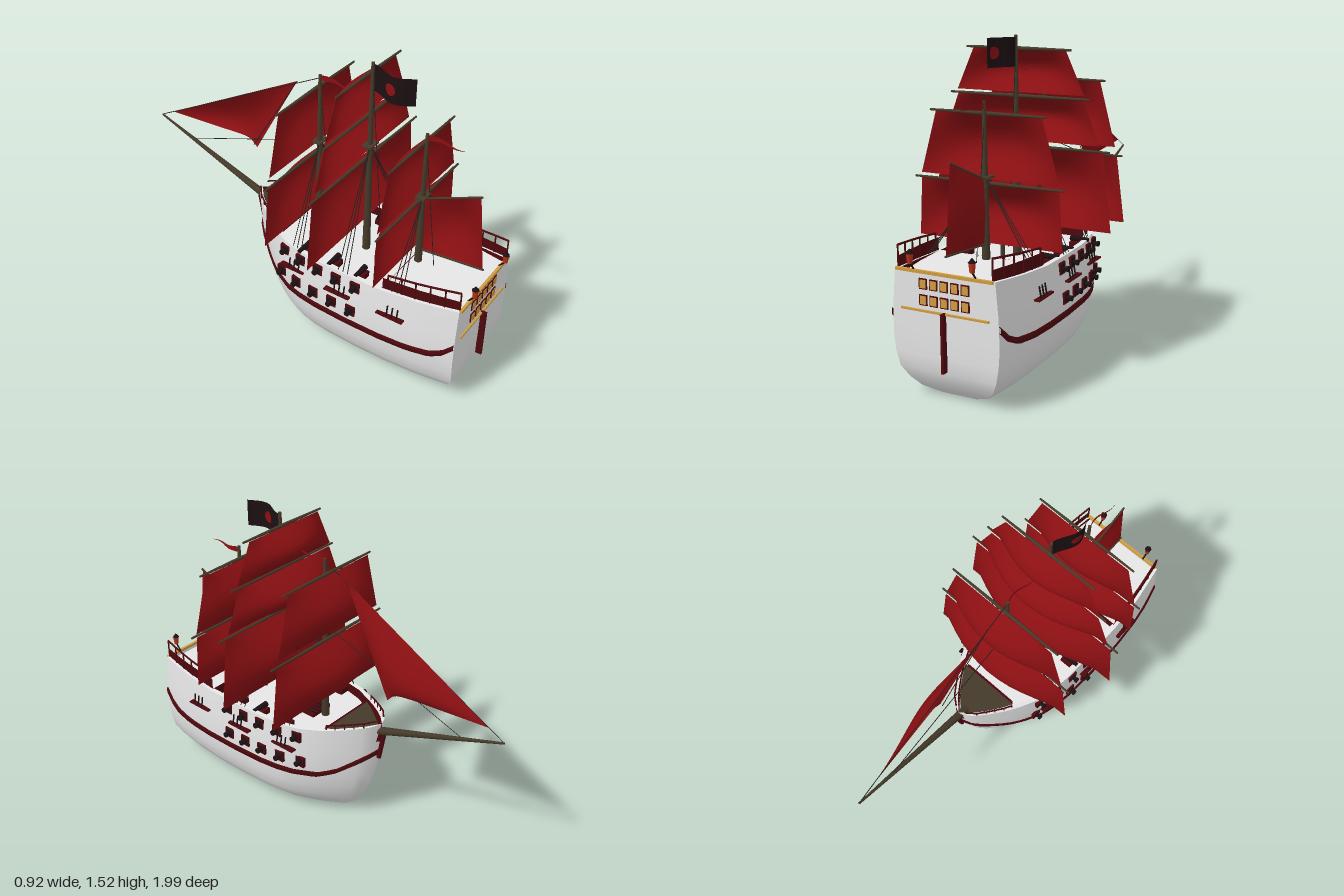
import * as THREE from 'three';

const mat = (name, color, double = false) => {
  const m = new THREE.MeshStandardMaterial({ color, side: double ? THREE.DoubleSide : THREE.FrontSide });
  m.name = name;
  return m;
};
const V = (x, y, z) => new THREE.Vector3(x, y, z);

// Linear lookup in rows of [key, value, ...]
function lookup(rows, k, col = 1) {
  let i = 0;
  while (i < rows.length - 2 && k > rows[i + 1][0]) i++;
  const a = rows[i], b = rows[i + 1];
  const t = Math.min(1, Math.max(0, (k - a[0]) / (b[0] - a[0])));
  return a[col] + (b[col] - a[col]) * t;
}

// Hull lines: [height, stern z, bow z, half beam], plan shape and sheer along the length
const LEVELS = [[0.003, 0.84, -0.11, 0], [0.008, 0.85, -0.12, 0.1], [0.04, 0.885, -0.165, 0.195], [0.085, 0.915, -0.2, 0.243],
  [0.14, 0.942, -0.235, 0.277], [0.21, 0.948, -0.265, 0.296], [0.3, 0.95, -0.29, 0.305], [0.42, 0.95, -0.315, 0.3], [0.55, 0.95, -0.33, 0.285]];
const PLAN = [[0, 0.85], [0.08, 0.91], [0.16, 0.96], [0.3, 1], [0.45, 1], [0.6, 0.97], [0.68, 0.925], [0.75, 0.85],
  [0.82, 0.7], [0.87, 0.575], [0.92, 0.42], [0.96, 0.28], [0.985, 0.16], [1, 0]];
const SHEER = [[0, 0.585], [0.15, 0.568], [0.3, 0.555], [0.7, 0.55], [0.85, 0.567], [1, 0.605]];
const sheer = (u) => lookup(SHEER, u);

function hullPoint(u, level) {
  const zs = lookup(LEVELS, level, 1), zb = lookup(LEVELS, level, 2);
  const y = level <= 0.3 ? level : 0.3 + (level - 0.3) * (sheer(u) - 0.3) / 0.25;
  return V(lookup(PLAN, u) * lookup(LEVELS, level, 3), y, zs + (zb - zs) * u);
}
const hullAtY = (u, y) => hullPoint(u, y <= 0.3 ? y : 0.3 + (y - 0.3) * 0.25 / (sheer(u) - 0.3));
const sideX = (z, y) => hullAtY((0.95 - z) / 1.27, y).x;

// Grid surface from a point function over integer indices
function grid(nu, nv, fn) {
  const pos = [], idx = [];
  for (let i = 0; i <= nu; i++) for (let j = 0; j <= nv; j++) pos.push(...fn(i, j).toArray());
  for (let i = 0; i < nu; i++) for (let j = 0; j < nv; j++) {
    const a = i * (nv + 1) + j, b = a + nv + 1;
    idx.push(a, b, a + 1, b, b + 1, a + 1);
  }
  const g = new THREE.BufferGeometry();
  g.setAttribute('position', new THREE.Float32BufferAttribute(pos, 3));
  g.setIndex(idx);
  g.computeVertexNormals();
  return g;
}

// Four-cornered cloth with a belly
const cloth = (a, b, c, d, belly, n = 12) => grid(n, n, (i, j) => {
  const s = i / n, t = j / n;
  const p = a.clone().lerp(b, s).lerp(d.clone().lerp(c, s), t);
  return p.addScaledVector(belly, Math.sin(Math.PI * t) * (1 - (2 * s - 1) ** 2));
});

export function createModel() {
  const ship = new THREE.Group();
  ship.name = 'sailingShip';
  const white = mat('hullWhite', 0xe6e6e6, true), red = mat('sailRed', 0x8a0f12, true), trim = mat('trimDarkRed', 0x4e080d, true);
  const wood = mat('darkWood', 0x453a2a), gold = mat('gold', 0xcf9c40), black = mat('black', 0x1c1012, true);
  const rope = mat('rope', 0x26221e), glow = mat('lanternOrange', 0xb83218);

  const add = (name, geo, m, x = 0, y = 0, z = 0) => {
    const mesh = new THREE.Mesh(geo, m);
    mesh.name = name;
    mesh.position.set(x, y, z);
    ship.add(mesh);
    return mesh;
  };
  const box = (name, m, w, h, d, x, y, z) => add(name, new THREE.BoxGeometry(w, h, d), m, x, y, z);
  const rod = (name, m, a, b, r1, r2 = r1, n = 8) => {
    const dir = b.clone().sub(a);
    const mesh = add(name, new THREE.CylinderGeometry(r2, r1, dir.length(), n), m);
    mesh.position.copy(a).addScaledVector(dir, 0.5);
    mesh.quaternion.setFromUnitVectors(V(0, 1, 0), dir.normalize());
    return mesh;
  };
  const line = (a, b) => rod('rigging', rope, a, b, 0.002, 0.002, 4);

  // Hull shell and stern
  const nS = PLAN.length - 1, nL = LEVELS.length - 1;
  add('hull', grid(nS, nL * 2, (i, j) => {
    const k = j - nL, p = hullPoint(PLAN[i][0], LEVELS[Math.abs(k)][0]);
    return p.setX(k < 0 ? -p.x : p.x);
  }), white);
  add('transom', grid(nL, 4, (i, j) => {
    const p = hullPoint(0, LEVELS[i][0]);
    return p.setX(p.x * (j / 2 - 1));
  }), white);

  // Decks
  const deck = (name, m, u0, u1, y, inset) => add(name, grid(10, 2, (i, j) => {
    const p = hullAtY(u0 + (u1 - u0) * i / 10, 0.5);
    return V(Math.max(0, p.x - inset) * (j - 1), y, p.z);
  }), m);
  deck('mainDeck', white, 0.28, 0.84, 0.5, 0.01);
  deck('quarterDeck', white, 0, 0.3, 0.556, 0.01);
  deck('foreDeck', wood, 0.83, 0.99, 0.552, 0.035).material.side = THREE.DoubleSide;
  box('quarterBulkhead', trim, 0.54, 0.055, 0.01, 0, 0.528, 0.57);
  box('foreBulkhead', trim, 0.3, 0.05, 0.01, 0, 0.527, -0.1);
  box('hatch', trim, 0.13, 0.02, 0.09, 0, 0.51, 0.1);
  for (let i = -2; i <= 2; i++) box('hatchBar', black, 0.006, 0.005, 0.09, i * 0.024, 0.522, 0.1);

  for (const s of [-1, 1]) {
    // Gunwale cap and inner bulwark
    const inner = (u, y, inset) => {
      const p = hullPoint(u, 0.55);
      return V(s * Math.max(0, p.x - inset), y, p.z);
    };
    add('gunwale', grid(nS, 1, (i, j) => inner(PLAN[i][0], sheer(PLAN[i][0]), j * 0.025)), white);
    add('innerBulwark', grid(nS, 1, (i, j) => inner(PLAN[i][0], j ? 0.5 : sheer(PLAN[i][0]), 0.025)), trim);

    // Wale band following the hull
    const WALE = [[0, 0.385], [0.04, 0.335], [0.09, 0.305], [0.2, 0.293], [0.84, 0.293], [0.9, 0.325], [0.96, 0.39], [1, 0.435]];
    add('wale', grid(50, 3, (i, j) => {
      const u = i / 50, y = lookup(WALE, u) + (j < 2 ? 0.014 : -0.014);
      const p = hullAtY(u, y), out = j === 1 || j === 2 ? 0.009 : -0.004;
      return V(s * (p.x + out), p.y, p.z - (u > 0.9 ? out * (u - 0.9) * 8 : 0));
    }), trim);

    // Raised quarter bulwark and its railing
    const qx = (z) => s * (sideX(z, 0.55) - 0.018);
    add('quarterBulwark', grid(8, 1, (i, j) => {
      const z = 0.945 - i * 0.047;
      return V(qx(z), j ? 0.615 + (z - 0.57) * 0.05 : 0.545, z);
    }), trim);
    const railY = (z) => 0.64 + (z - 0.6) * 0.12;
    for (let i = 0; i < 6; i++) {
      const z = 0.945 - i * 0.07, z2 = z - 0.07;
      rod('railPost', trim, V(qx(z), 0.56, z), V(qx(z), railY(z), z), 0.004);
      if (i < 5) rod('rail', trim, V(qx(z), railY(z), z), V(qx(z2), railY(z2), z2), 0.005);
    }
    // Bow railing
    for (let i = 0; i < 5; i++) {
      const a = hullPoint(0.84 + i * 0.03, 0.55), b = hullPoint(0.87 + i * 0.03, 0.55);
      const p = V(s * a.x * 0.93, a.y + 0.025, a.z), q = V(s * b.x * 0.93, b.y + 0.025, b.z);
      rod('bowRail', trim, p, q, 0.004);
      rod('bowRailPost', trim, V(p.x, a.y - 0.01, p.z), p, 0.003);
    }

    // Two rows of gun ports
    for (let i = 0; i < 5; i++) for (const [z, y] of [[0.435 - i * 0.108, 0.508], [0.42 - i * 0.11, 0.368]]) {
      const x = sideX(z, y);
      box('gunPort', trim, 0.016, 0.054, 0.052, s * x, y, z);
      box('gunPortOpening', black, 0.006, 0.04, 0.038, s * (x + 0.007), y, z);
      rod('gunBarrel', black, V(s * (x - 0.01), y, z), V(s * (x + 0.03), y, z), 0.013, 0.01);
      rod('gunMuzzle', black, V(s * (x + 0.025), y, z), V(s * (x + 0.036), y, z), 0.014);
    }
    // Deck guns
    for (const z of [0.1, 0.27, 0.42]) {
      box('gunCarriage', trim, 0.06, 0.03, 0.045, s * 0.21, 0.52, z);
      rod('deckGun', black, V(s * 0.18, 0.55, z), V(s * 0.27, 0.55, z), 0.015, 0.011);
    }
    // Stern lanterns
    rod('lanternArm', black, V(s * 0.15, 0.585, 0.945), V(s * 0.15, 0.618, 0.972), 0.004);
    add('lantern', new THREE.CylinderGeometry(0.015, 0.011, 0.042, 6), glow, s * 0.15, 0.64, 0.974);
    add('lanternCap', new THREE.ConeGeometry(0.018, 0.022, 6), black, s * 0.15, 0.672, 0.974);
  }

  // Stern details
  box('sternBarTop', gold, 0.47, 0.013, 0.014, 0, 0.582, 0.952);
  box('sternBarLower', gold, 0.425, 0.009, 0.012, 0, 0.412, 0.953);
  for (let i = -2; i <= 2; i++) for (const y of [0.53, 0.459]) {
    box('windowFrame', trim, 0.039, 0.047, 0.006, i * 0.051, y, 0.952);
    box('windowPane', gold, 0.029, 0.037, 0.006, i * 0.051, y, 0.954);
  }
  box('rudder', trim, 0.013, 0.262, 0.03, 0, 0.286, 0.963);
  rod('stem', trim, V(0, 0.4, -0.318), V(0, 0.55, -0.345), 0.012);

  // Steering wheel
  rod('wheelPost', wood, V(0, 0.5, 0.45), V(0, 0.6, 0.45), 0.01);
  add('wheelRim', new THREE.TorusGeometry(0.028, 0.004, 6, 16), wood, 0, 0.63, 0.44);
  for (let i = 0; i < 4; i++) {
    const a = i * Math.PI / 4, c = Math.cos(a) * 0.042, d = Math.sin(a) * 0.042;
    rod('wheelSpoke', wood, V(-c, 0.63 - d, 0.44), V(c, 0.63 + d, 0.44), 0.003);
  }

  // Masts: sails as [top y, bottom y, top half width, bottom half width, belly, yard half width]
  const masts = [
    { z: 0.03, top: 1.37, cross: 1.02, sails: [[1.296, 0.99, 0.28, 0.36, 0.11, 0.31], [0.948, 0.63, 0.37, 0.41, 0.12, 0.4]] },
    { z: 0.31, top: 1.52, cross: 1.1, sails: [[1.457, 1.26, 0.235, 0.325, 0.095, 0.265], [1.243, 1.04, 0.32, 0.4, 0.13, 0.355], [1.015, 0.65, 0.42, 0.46, 0.145, 0.455]] },
    { z: 0.6, top: 1.26, cross: 0.93, sails: [[1.2, 0.912, 0.262, 0.345, 0.098, 0.285], [0.893, 0.622, 0.345, 0.36, 0.118, 0.37]] },
  ];
  for (const { z, top, cross, sails } of masts) {
    rod('mast', wood, V(0, 0.48, z), V(0, top, z), 0.02, 0.008, 10);
    for (const [y0, y1, w0, w1, belly, yard] of sails) {
      const zs = z - 0.028;
      add('squareSail', cloth(V(-w0, y0, zs), V(w0, y0, zs), V(w1, y1, zs), V(-w1, y1, zs), V(0, 0, -belly)), red);
      for (const s of [-1, 1]) rod('yard', wood, V(0, y0 + 0.003, z - 0.018), V(s * yard, y0 + 0.003, z - 0.018), 0.009, 0.005);
    }
    box('crossTree', wood, 0.07, 0.008, 0.05, 0, cross, z);
    // Shrouds and channels
    for (const s of [-1, 1]) {
      const zc = z + 0.035, x = sideX(zc, 0.44);
      box('channel', trim, 0.03, 0.008, 0.14, s * (x + 0.008), 0.44, zc);
      for (let i = 0; i < 3; i++) {
        const zi = z + 0.02 + i * 0.027;
        const foot = V(s * (sideX(zi, 0.54) - 0.005), 0.545, zi);
        line(V(0, cross, z), foot);
        rod('chainPlate', black, V(s * (x + 0.016), 0.44, zi), V(s * (x + 0.006), 0.495, zi), 0.004, 0.004, 5);
      }
    }
    line(V(0, top - 0.05, z), V(0, 0.56, z + 0.085));
  }

  // Bowsprit and stays
  rod('bowsprit', wood, V(0, 0.545, -0.28), V(0, 0.808, -0.998), 0.021, 0.005, 10);
  line(V(0, 1.355, 0.03), V(0, 0.81, -0.995));
  line(V(0, 1.02, 0.03), V(0, 0.735, -0.78));
  line(V(0.03, 0.82, -0.4), V(0, 1.296, -0.1));
  line(V(0, 0.852, -0.917), V(0, 0.81, -0.995));

  // Fore-and-aft sails
  add('jib', cloth(V(0, 1.296, -0.1), V(0, 0.852, -0.917), V(0.045, 0.845, -0.44), V(0.05, 0.795, -0.395), V(0.05, 0, 0)), red);
  add('spanker', cloth(V(0, 0.92, 0.605), V(0, 1.035, 0.885), V(0, 0.655, 0.93), V(0, 0.625, 0.605), V(0.055, 0, 0)), red);
  rod('gaff', wood, V(0, 0.915, 0.6), V(0, 1.04, 0.89), 0.005);
  rod('boom', wood, V(0, 0.625, 0.6), V(0, 0.655, 0.935), 0.005);

  // Waving flag with a plain round patch on both faces, and pennants
  const wave = (z) => -0.015 + 0.028 * Math.cos((z - 0.31) * 22) - 0.01;
  add('flag', grid(14, 1, (i, j) => {
    const z = 0.315 + i * 0.0161;
    return V(wave(z), (j ? 1.38 : 1.512) + (i / 14) * 0.004, z);
  }), black);
  for (const s of [-1, 1]) add('flagPatch', grid(8, 12, (i, j) => {
    const a = j * Math.PI / 6, r = i * 0.0036, z = 0.43 + Math.cos(a) * r;
    return V(wave(z) + s * 0.003, 1.447 + Math.sin(a) * r, z);
  }), red);
  for (const [y, z] of [[1.355, 0.035], [1.24, 0.605]]) add('pennant', grid(8, 1, (i, j) => {
    const t = i / 8;
    return V(0.012 * Math.sin(t * 6), y + (j - 0.5) * 0.03 * (1 - t), z + t * 0.19);
  }), red);

  return ship;
}
